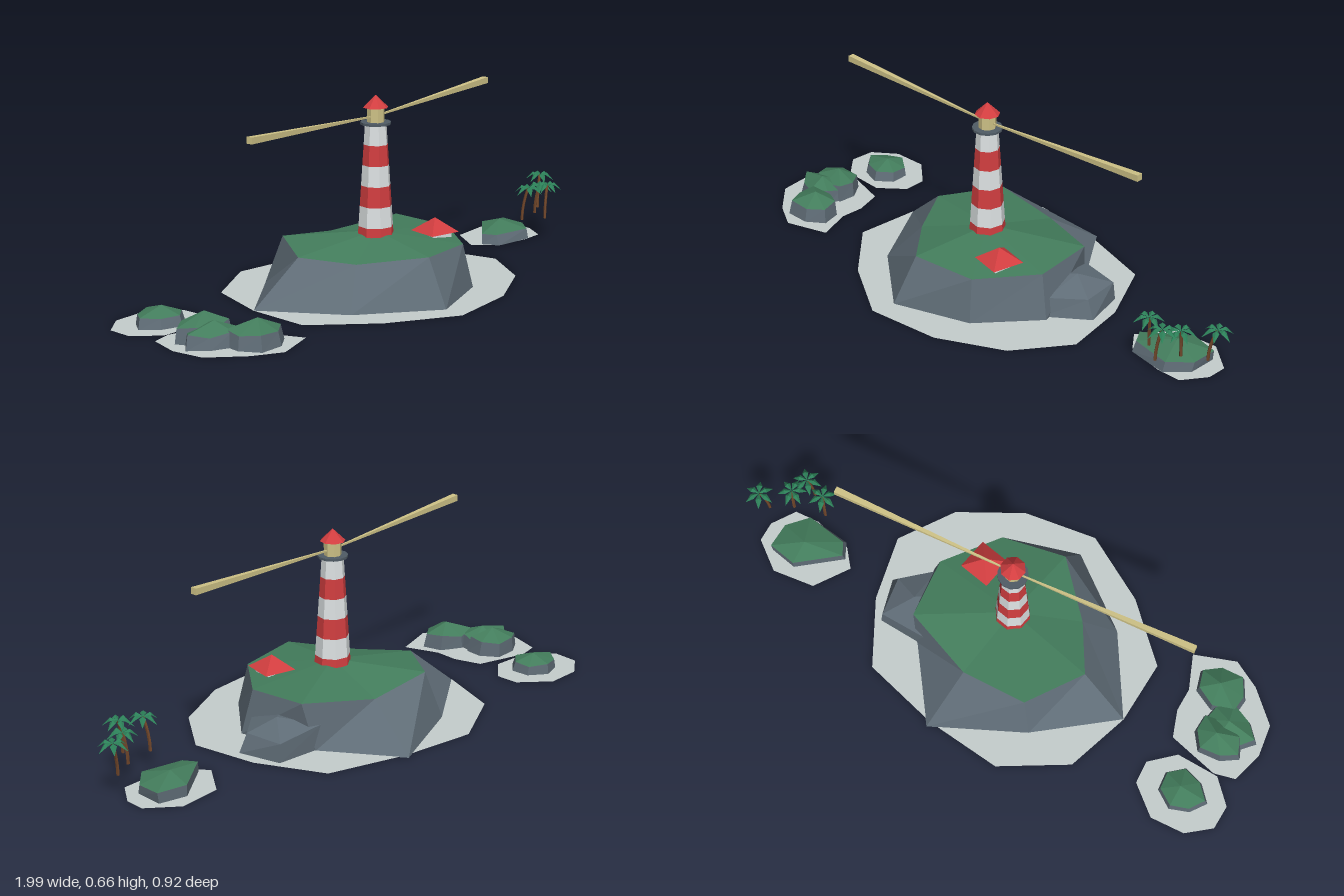
import * as THREE from 'three';

const mat = (name, color, extra = {}) => {
  const m = new THREE.MeshStandardMaterial({ color, flatShading: true, ...extra });
  m.name = name;
  return m;
};

export function createModel() {
  const model = new THREE.Group();
  model.name = 'lighthouseIsland';
  const rock = mat('rock grey', 0x5f6c76);
  const grass = mat('grass green', 0x437d5c);
  const foam = mat('foam', 0xc6cecd, { side: THREE.DoubleSide });
  const white = mat('white paint', 0xdde2e3);
  const red = mat('red paint', 0xd23e40);
  const iron = mat('gallery grey', 0x505c66);
  const light = mat('lamp yellow', 0xcfc387);
  const bark = mat('bark brown', 0x70462a);
  const leaf = mat('palm green', 0x2c8058, { side: THREE.DoubleSide });

  const add = (parent, name, geo, material, x = 0, y = 0, z = 0) => {
    const mesh = new THREE.Mesh(geo, material);
    mesh.name = name;
    mesh.position.set(x, y, z);
    parent.add(mesh);
    return mesh;
  };
  const triangles = (pts) => {
    const g = new THREE.BufferGeometry();
    g.setAttribute('position', new THREE.Float32BufferAttribute(pts.flat(), 3));
    g.computeVertexNormals();
    return g;
  };
  // Fan from a peak to a ring of [x, y, z] corners
  const fan = (peak, ring) => triangles(ring.flatMap((p, i) => [peak, ring[(i + 1) % ring.length], p]));
  const flat = (ring, y) => ring.map(([x, z]) => [x, y, z]);

  // Island: rock sides between two rings, with a faceted cap
  const island = (name, base, top, peak, capMaterial) => {
    const g = new THREE.Group();
    g.name = name;
    const b = flat(base, 0), n = b.length, sides = [];
    for (let i = 0; i < n; i++) {
      const j = (i + 1) % n;
      sides.push(b[j], b[i], top[i], b[j], top[i], top[j], [peak[0], 0, peak[2]], b[i], b[j]);
    }
    add(g, name + 'Rock', triangles(sides), rock);
    add(g, name + 'Cap', fan(peak, top), capMaterial);
    model.add(g);
  };

  // Main island
  island('mainIsland',
    [[-0.52, 0], [-0.3, -0.25], [-0.016, -0.46], [0.21, -0.25], [0.345, 0], [0.225, 0.225], [-0.016, 0.375], [-0.3, 0.235]],
    [[-0.34, 0.15, 0], [-0.25, 0.165, -0.215], [-0.016, 0.136, -0.26], [0.245, 0.165, -0.22],
      [0.305, 0.155, -0.01], [0.2, 0.15, 0.2], [-0.016, 0.158, 0.285], [-0.21, 0.135, 0.145]],
    [-0.016, 0.192, 0], grass);

  // Bare rock leaning on the main island
  island('sideRock',
    [[0.16, -0.24], [0.36, -0.27], [0.43, -0.13], [0.32, 0], [0.18, -0.02]],
    [[0.18, 0.085, -0.24], [0.355, 0.065, -0.265], [0.4, 0.065, -0.13], [0.315, 0.065, -0.02], [0.18, 0.085, -0.02]],
    [0.3, 0.108, -0.155], rock);

  // Palm island
  island('palmIsland',
    [[0.61, -0.18], [0.73, -0.32], [0.83, -0.32], [0.85, -0.22], [0.8, -0.14], [0.65, -0.13]],
    [[0.615, 0.038, -0.185], [0.73, 0.04, -0.32], [0.835, 0.038, -0.32], [0.85, 0.034, -0.23], [0.8, 0.036, -0.15], [0.65, 0.036, -0.145]],
    [0.745, 0.064, -0.24], grass);

  // Small grassy islets: x, z, radius x, radius z, height, turn
  [[-0.835, -0.068, 0.092, 0.08, 0.06, 0.2], [-0.815, 0.15, 0.1, 0.075, 0.09, 0.5],
    [-0.82, 0.215, 0.105, 0.075, 0.075, 1.2], [-0.715, 0.3, 0.105, 0.085, 0.085, 0.1]
  ].forEach(([x, z, rx, rz, h, turn], k) => {
    const base = [], top = [];
    for (let i = 0; i < 7; i++) {
      const a = turn + (i / 7) * Math.PI * 2, w = 0.95 + 0.09 * Math.sin(i * 2.6 + k);
      base.push([x + Math.cos(a) * rx * w, z + Math.sin(a) * rz * w]);
      top.push([x + Math.cos(a) * rx * w * 0.9, h * (0.58 + 0.08 * Math.sin(i * 3 + k)), z - 0.004 + Math.sin(a) * rz * w * 0.9]);
    }
    island('islet' + (k + 1), base, top, [x + 0.01, h, z - 0.005], grass);
  });

  // Foam around each shore
  const shores = {
    mainFoam: [[-0.29, -0.415], [-0.016, -0.44], [0.27, -0.42], [0.43, -0.22], [0.52, 0], [0.43, 0.21], [0.235, 0.37],
      [-0.016, 0.457], [-0.27, 0.37], [-0.487, 0.227], [-0.52, 0], [-0.487, -0.24]],
    palmFoam: [[0.572, -0.195], [0.63, -0.33], [0.775, -0.377], [0.89, -0.32], [0.904, -0.25], [0.866, -0.158], [0.78, -0.136], [0.636, -0.142]],
    backFoam: [[-0.998, -0.1], [-0.93, -0.18], [-0.81, -0.21], [-0.695, -0.147], [-0.675, -0.067], [-0.743, 0.024], [-0.893, 0.05], [-0.984, -0.013]],
    frontFoam: [[-0.947, 0.083], [-0.877, 0.05], [-0.69, 0.06], [-0.64, 0.147], [-0.625, 0.23], [-0.555, 0.34],
      [-0.69, 0.42], [-0.797, 0.387], [-0.92, 0.31], [-0.957, 0.2]],
  };
  for (const [name, ring] of Object.entries(shores)) {
    const c = [0, 1].map((k) => ring.reduce((s, p) => s + p[k], 0) / ring.length);
    add(model, name, fan([c[0], 0.001, c[1]], flat(ring, 0.001)), foam);
  }

  // Lighthouse: striped octagonal tower
  const house = new THREE.Group();
  house.name = 'lighthouse';
  house.position.set(-0.017, 0, 0);
  model.add(house);
  const radius = (y) => 0.065 - (y - 0.14) * 0.066;
  for (let i = 0; i < 6; i++) {
    const y = 0.14 + i * 0.07;
    const g = new THREE.CylinderGeometry(radius(y + 0.07), radius(y), 0.07, 8, 1, true).rotateY(Math.PI / 8);
    add(house, 'towerBand' + (i + 1), g, i % 2 ? white : red, 0, y + 0.035, 0);
  }
  add(house, 'gallery', new THREE.CylinderGeometry(0.052, 0.052, 0.008, 12), iron, 0, 0.562, 0);
  add(house, 'lampRoom', new THREE.CylinderGeometry(0.03, 0.03, 0.05, 8).rotateY(Math.PI / 8), light, 0, 0.591, 0);
  add(house, 'lampRoof', new THREE.ConeGeometry(0.043, 0.042, 8).rotateY(Math.PI / 8), red, 0, 0.636, 0);

  // Two widening light beams
  for (const s of [1, -1]) {
    const start = new THREE.Vector3(0, 0.585, 0), end = new THREE.Vector3(s * 0.623, 0.612, s * -0.167);
    const g = new THREE.CylinderGeometry(0.0155, 0.003, start.distanceTo(end), 4);
    g.rotateY(Math.PI / 4).rotateX(Math.PI / 2);
    const beam = add(house, 'lightBeam', g, light);
    beam.position.copy(start).lerp(end, 0.5);
    beam.lookAt(end.clone().add(house.position.clone().multiplyScalar(1)));
    // Aim in the lighthouse's own frame
    beam.quaternion.setFromRotationMatrix(new THREE.Matrix4().lookAt(end, start, new THREE.Vector3(0, 1, 0)));
  }

  // Keeper's cottage
  add(model, 'cottageWalls', new THREE.BoxGeometry(0.078, 0.045, 0.082), white, 0.177, 0.1515, 0.078);
  const roof = new THREE.ConeGeometry(0.058 * Math.SQRT2, 0.048, 4).rotateY(Math.PI / 4);
  add(model, 'cottageRoof', roof, red, 0.177, 0.198, 0.078);

  // Palms: leaning trunk and six folded, drooping fronds
  const frond = triangles([
    [0, 0, 0], [0.026, 0, 0.011], [0.026, 0.009, 0], [0, 0, 0], [0.026, 0.009, 0], [0.026, 0, -0.011],
    [0.026, 0, 0.011], [0.053, -0.021, 0], [0.026, 0.009, 0], [0.026, 0.009, 0], [0.053, -0.021, 0], [0.026, 0, -0.011],
  ]);
  // base x, base z, head x, head z, head height
  [[0.75, -0.12, 0.765, -0.105, 0.203], [0.83, -0.085, 0.848, -0.095, 0.205],
    [0.855, -0.168, 0.866, -0.155, 0.19], [0.92, -0.225, 0.942, -0.24, 0.204]
  ].forEach(([bx, bz, hx, hz, h], k) => {
    const palm = new THREE.Group();
    palm.name = 'palm' + (k + 1);
    const curve = new THREE.QuadraticBezierCurve3(new THREE.Vector3(bx, 0.084, bz),
      new THREE.Vector3(bx, 0.14, bz), new THREE.Vector3(hx, h, hz));
    add(palm, 'trunk', new THREE.TubeGeometry(curve, 4, 0.0055, 5), bark);
    for (let i = 0; i < 6; i++) {
      add(palm, 'frond', frond, leaf, hx, h, hz).rotation.y = (i / 6) * Math.PI * 2 + k * 0.4;
    }
    model.add(palm);
  });

  return model;
}
